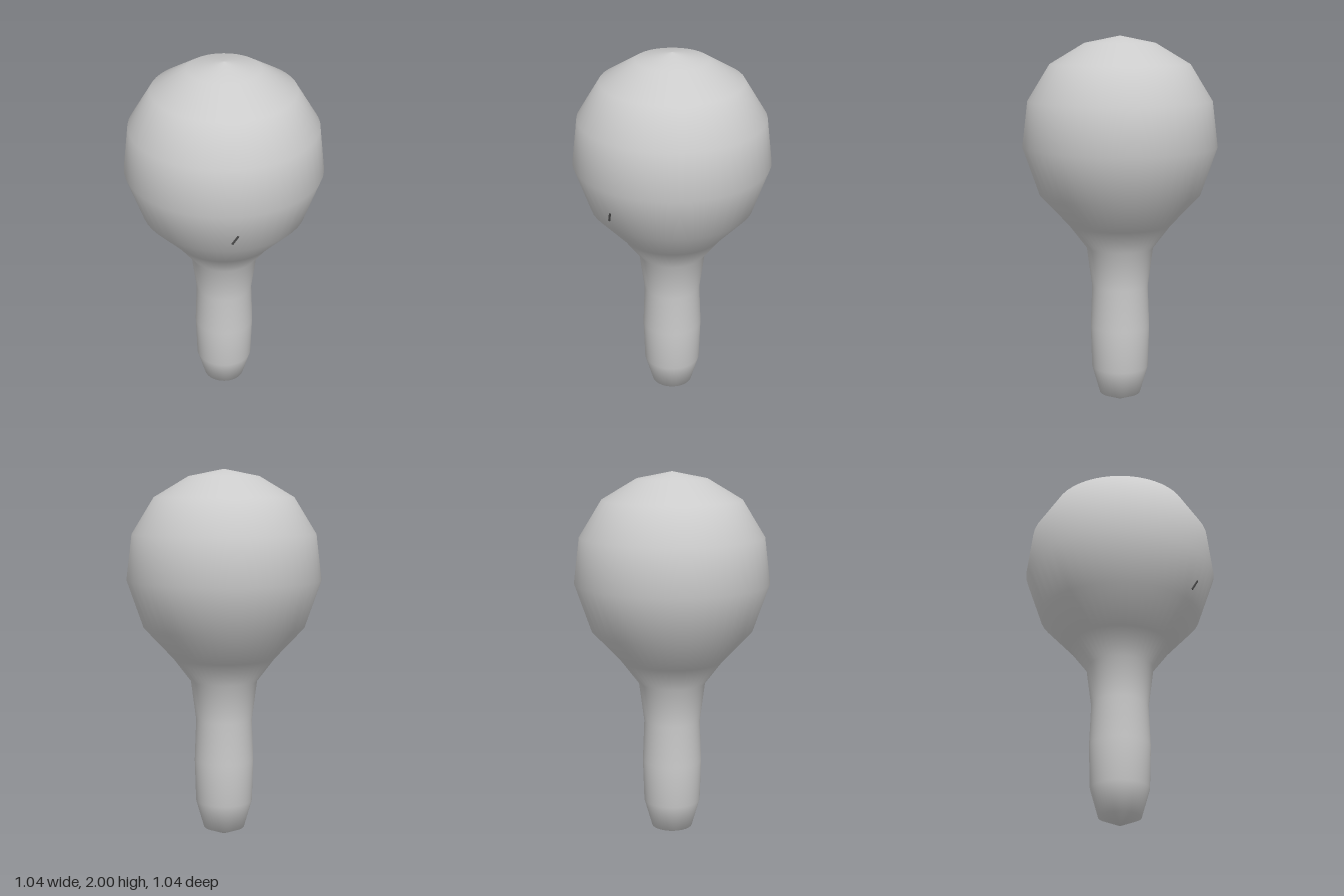
import * as THREE from 'three';

export function createModel() {
  const group = new THREE.Group();
  const grey = new THREE.MeshStandardMaterial({ color: 0xcccccc });
  grey.name = 'light grey';
  const dark = new THREE.MeshStandardMaterial({ color: 0x555555 });
  dark.name = 'dark grey';

  // Round head flowing into a slim handle, as one turned profile (radius, height)
  const profile = [
    [0, 0.005], [0.111, 0.05], [0.154, 0.2], [0.161, 0.43], [0.152, 0.655],
    [0.18, 0.867], [0.277, 0.995], [0.434, 1.163], [0.521, 1.415],
    [0.491, 1.659], [0.372, 1.852], [0.188, 1.962], [0, 2],
  ].map(([r, y]) => new THREE.Vector2(r, y));
  const body = new THREE.Mesh(new THREE.LatheGeometry(profile, 48), grey);
  body.name = 'headAndHandle';
  group.add(body);

  // Small slanted nick lying on the lower front of the head
  const nick = new THREE.Mesh(new THREE.BoxGeometry(0.01, 0.066, 0.008), dark);
  nick.name = 'frontNick';
  nick.position.set(0.045, 1.25, 0.462);
  nick.rotation.set(0.33, 0.09, -0.46);
  group.add(nick);

  return group;
}
